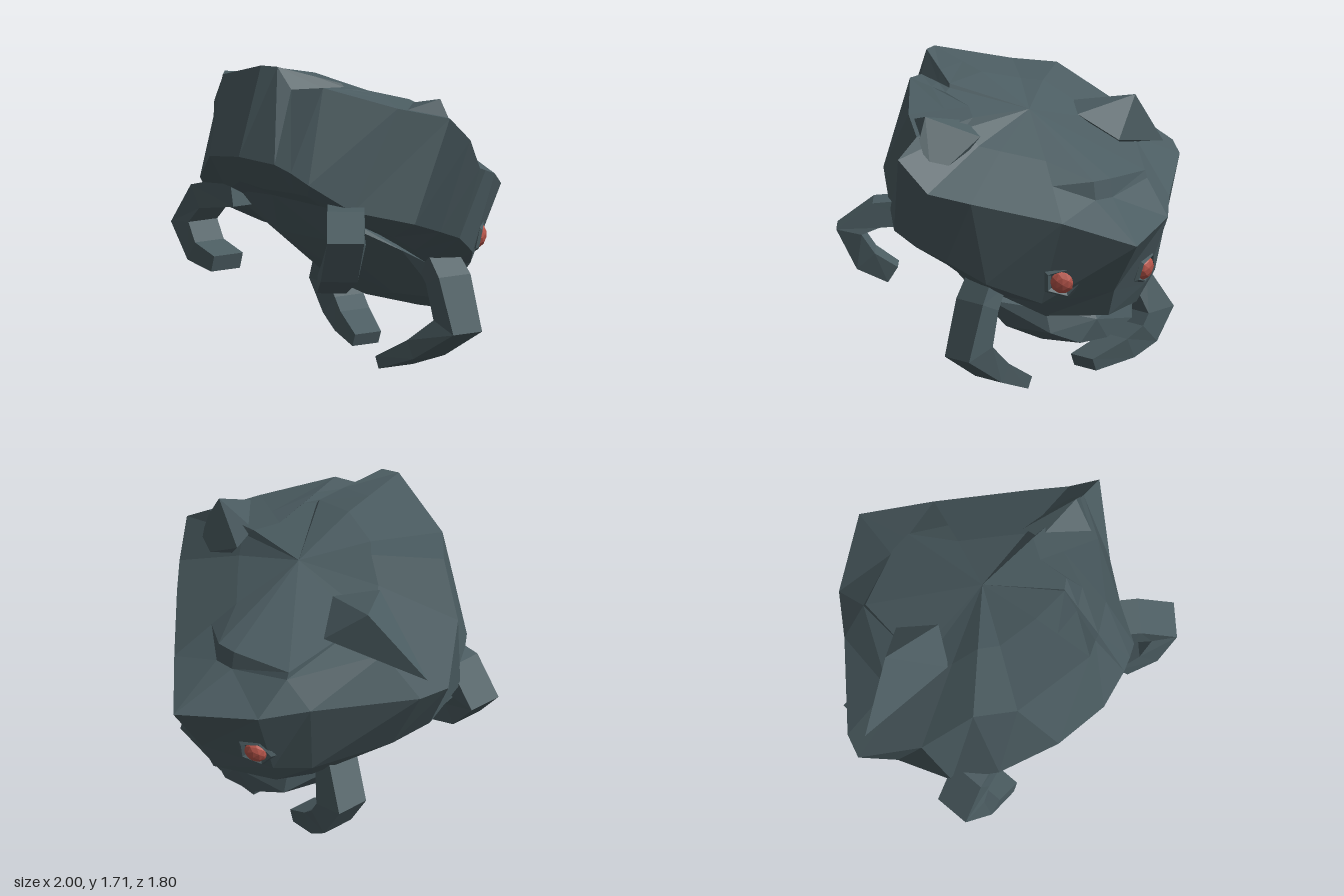
import * as THREE from 'three';
import { ConvexGeometry } from 'three/addons/geometries/ConvexGeometry.js';

const V = (p) => new THREE.Vector3(...p);

// Faceted skin through a stack of rings, closed by a point at each end
function loft(start, rings, end) {
  const pos = [];
  const tri = (...v) => v.forEach((p) => pos.push(p.x, p.y, p.z));
  const n = rings[0].length, last = rings[rings.length - 1];
  for (let i = 0; i < n; i++) {
    const j = (i + 1) % n;
    tri(start, rings[0][j], rings[0][i]);
    for (let k = 0; k + 1 < rings.length; k++) {
      const a = rings[k], b = rings[k + 1];
      tri(a[i], a[j], b[j]);
      tri(a[i], b[j], b[i]);
    }
    tri(last[i], last[j], end);
  }
  const g = new THREE.BufferGeometry();
  g.setAttribute('position', new THREE.Float32BufferAttribute(pos, 3));
  g.computeVertexNormals();
  return g;
}

// Four-sided limb along a path; each stop is [x, y, z, half width, half thickness]
function limb(stops, side) {
  const pts = stops.map((s) => V(s.slice(0, 3)));
  const rings = stops.map((s, i) => {
    const t = pts[Math.min(i + 1, pts.length - 1)].clone().sub(pts[Math.max(i - 1, 0)]).normalize();
    const n = t.clone().cross(side).normalize();
    return [[1, 1], [-1, 1], [-1, -1], [1, -1]].map(([a, b]) =>
      pts[i].clone().addScaledVector(side, a * s[3]).addScaledVector(n, b * s[4]));
  });
  return loft(pts[0], rings, pts[pts.length - 1]);
}

export function createModel() {
  const stone = new THREE.MeshStandardMaterial({ color: 0x4b5c61, flatShading: true });
  stone.name = 'slate stone';
  const red = new THREE.MeshStandardMaterial({ color: 0xb8564b, flatShading: true });
  red.name = 'eye red';

  const model = new THREE.Group();
  model.name = 'rockCreature';
  const add = (name, geo, mat = stone, parent = model) => {
    const m = new THREE.Mesh(geo, mat);
    m.name = name;
    parent.add(m);
    return m;
  };
  const hull = (name, pts) => add(name, new ConvexGeometry(pts.map(V)));

  // Boulder shell: upper rim, lower wall edge and underside edge, from the front round by +x
  const rim = [
    [.11, 1.72, .77], [.2, 1.72, .73], [.27, 1.6, .69], [.43, 1.62, .6], [.7, 1.51, .3], [.85, 1.45, .06],
    [1, 1.35, .04], [.91, 1.17, -.1], [.75, 1.12, -.27], [.4, 1.02, -.62], [.11, .9, -.9], [-.31, .96, -.67],
    [-.5, 1.01, -.46], [-.93, 1.11, -.05], [-1, 1.15, .09], [-.79, 1.37, .36], [-.53, 1.58, .5], [-.35, 1.6, .66],
  ].map(V);
  const wall = [
    [.08, 1.23, .9], [.31, 1.21, .84], [.4, 1.17, .8], [.49, 1.11, .75], [.62, .96, .55], [.82, .89, .28],
    [.82, .83, .1], [.76, .77, -.08], [.64, .66, -.27], [.4, .55, -.45], [.1, .62, -.7], [-.27, .57, -.52],
    [-.45, .6, -.4], [-.71, .73, -.05], [-.77, .79, .17], [-.68, .86, .48], [-.52, 1.02, .68], [-.23, 1.19, .85],
  ].map(V);
  const under = [
    [.05, 1.03, .7], [.27, 1.03, .67], [.35, 1.02, .64], [.47, .97, .58], [.55, .87, .43], [.6, .79, .25],
    [.6, .7, .1], [.52, .6, -.05], [.47, .56, -.2], [.35, .47, -.42], [.08, .47, -.63], [-.25, .47, -.48],
    [-.4, .52, -.35], [-.5, .63, -.05], [-.58, .72, .2], [-.53, .82, .4], [-.45, .94, .55], [-.18, 1.04, .68],
  ].map(V);
  const crown = V([.09, 1.5, .01]);
  const slope = rim.map((p) => p.clone().lerp(crown, .5).add(V([0, .03, 0])));
  // Crack in the front of the crown, running back from the rim
  slope[1] = V([.33, 1.61, .39]);
  slope[2] = V([.34, 1.59, .38]);
  slope[3] = V([.4, 1.58, .34]);
  // Low ledge across the back of the crown
  slope[10] = V([.12, 1.2, -.555]);
  slope[11] = V([0, 1.2, -.555]);
  slope[12] = V([-.33, 1.18, -.46]);
  const shelf = slope.map((p, i) => rim[i].clone().lerp(p, .6));
  shelf[10] = V([.12, 1.1, -.57]);
  shelf[11] = V([0, 1.1, -.57]);
  shelf[12] = V([-.33, 1.14, -.475]);
  add('shell', loft(V([.03, .74, .08]), [under, wall, rim, shelf, slope], crown));

  // Crags on the top of the shell
  hull('leftCrag', [[-.57, 1.5, -.1], [-.89, 1.17, .04], [-.37, 1.45, .18], [-.22, 1.43, -.03], [-.35, 1.3, -.22], [-.55, 1.2, 0]]);
  hull('rightCrag', [[.78, 1.55, .07], [.5, 1.42, -.06], [.84, 1.22, -.05], [.84, 1.43, .05], [.7, 1.49, .27], [.5, 1.49, .06], [.7, 1.2, 0]]);

  // Belly and lower jaw
  hull('belly', [
    [-.36, .95, .53], [.4, .95, .53], [0, .98, .6], [-.42, .84, .42], [.46, .84, .42], [-.2, .74, .4], [.26, .74, .4],
    [-.5, .7, .15], [.55, .7, .15], [0, .58, .23], [.25, .6, .23], [-.2, .6, .23],
    [0, .37, -.05], [.3, .42, 0], [-.26, .42, -.03],
    [-.13, .31, -.3], [.08, .29, -.35], [.27, .31, -.3], [-.36, .4, -.2], [.44, .39, -.2],
    [-.45, .53, -.22], [.53, .54, -.18], [-.05, .3, -.47], [.15, .3, -.48], [.32, .37, -.43], [-.26, .37, -.43],
    [.05, .42, -.5], [.05, .5, -.46], [.33, .5, -.4], [-.26, .5, -.4],
  ]);

  // Curled legs
  const zAxis = V([0, 0, 1]);
  add('frontLeftLeg', limb([[-.35, .95, .5, .1, .08], [-.6, .9, .55, .1, .07], [-.705, .75, .57, .1, .075],
    [-.57, .61, .6, .1, .06], [-.4, .56, .59, .1, .045]], zAxis));
  add('frontRightLeg', limb([[.46, .93, .46, .1, .07], [.65, .91, .62, .1, .07], [.765, .82, .71, .1, .07],
    [.67, .65, .68, .1, .065], [.53, .56, .62, .08, .05]], V([-.68, 0, .73]).normalize()));
  add('rearLeftLeg', limb([[-.42, .58, -.2, .1, .06], [-.53, .36, -.26, .1, .09], [-.45, .24, -.26, .1, .07],
    [-.34, .17, -.23, .1, .06], [-.14, .095, -.17, .09, .035]], zAxis));
  add('rearRightLeg', limb([[.5, .65, -.12, .1, .06], [.59, .52, -.14, .11, .06], [.66, .27, -.15, .1, .09],
    [.45, .13, -.1, .11, .055], [.24, .04, -.05, .12, .035]], zAxis));

  // Eyes with angular lids
  const eyes = [['rightFacingEye', [.34, .68, -.55], [.62, -.2, -.76]], ['leftFacingEye', [-.21, .68, -.59], [-.42, -.3, -.85]]];
  for (const [name, at, dir] of eyes) {
    const eye = new THREE.Group();
    eye.name = name;
    eye.position.copy(V(at));
    eye.lookAt(V(at).add(V(dir)));
    model.add(eye);
    const ball = add('eyeball', new THREE.IcosahedronGeometry(1, 1), red, eye);
    ball.scale.set(.066, .068, .047);
    const lid = add('eyelid', new THREE.TorusGeometry(.095, .022, 4, 5).toNonIndexed(), stone, eye);
    lid.geometry.computeVertexNormals();
    lid.scale.set(1, .85, .8);
  }
  return model;
}
